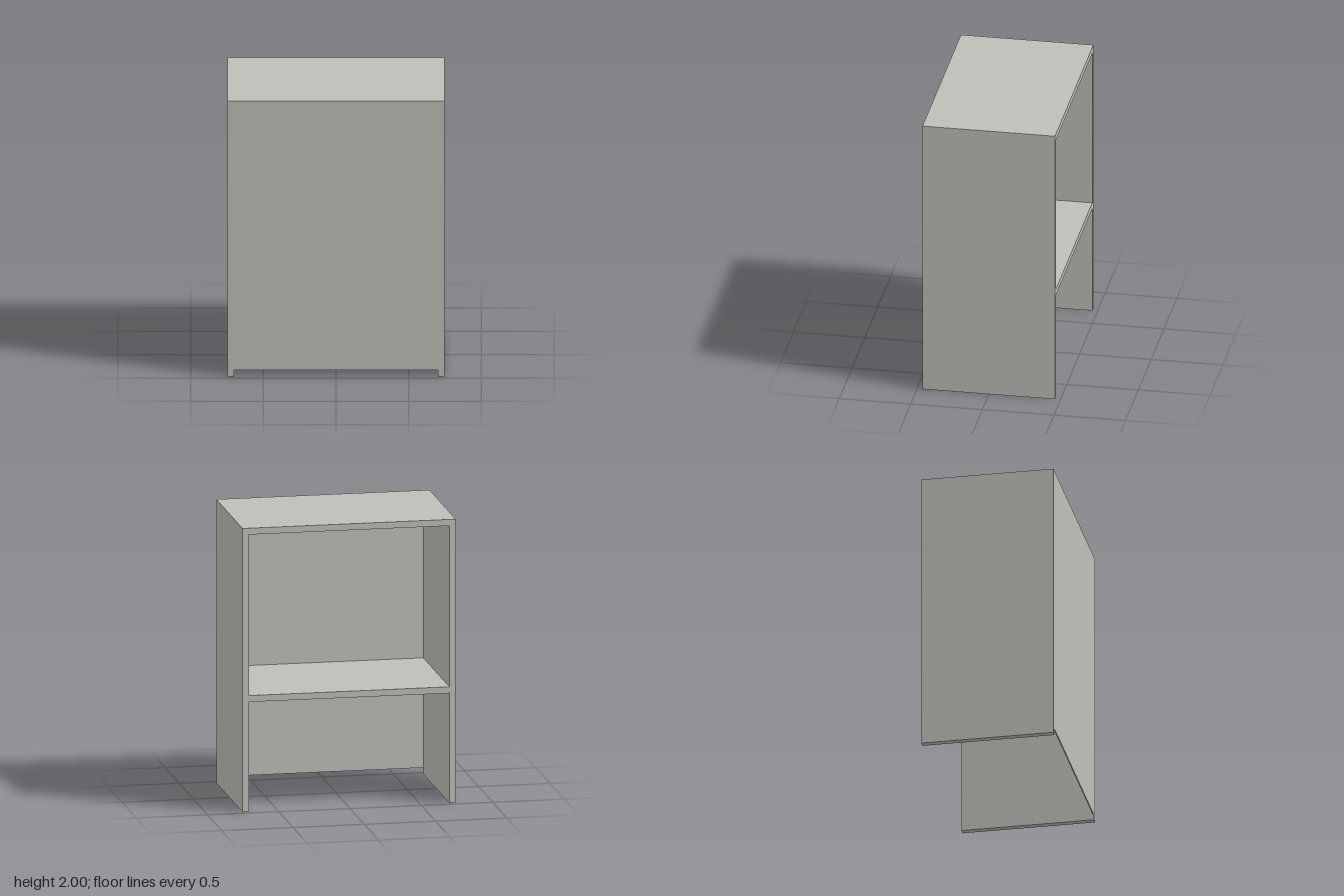
import * as THREE from 'three';

const W = 1.495, H = 2, D = 0.926; // overall size
const T = 0.045;                   // board thickness
const FRONT_T = 0.008;             // front sheet thickness

export function createModel() {
  const group = new THREE.Group();
  group.name = 'cabinet';
  const grey = new THREE.MeshStandardMaterial({ color: 0xbfbfba });
  grey.name = 'warmGrey';

  function board(name, w, h, d, x, y, z) {
    const mesh = new THREE.Mesh(new THREE.BoxGeometry(w, h, d), grey);
    mesh.name = name;
    mesh.position.set(x, y, z);
    group.add(mesh);
  }

  const innerW = W - 2 * T;
  const innerD = D - FRONT_T;

  // Full-height sides that also act as feet
  for (const [name, s] of [['leftSide', 1], ['rightSide', -1]]) {
    board(name, T, H, D, s * (W - T) / 2, H / 2, 0);
  }

  // Top and middle shelf, open at the back
  board('topPanel', innerW, T, innerD, 0, H - T / 2, -FRONT_T / 2);
  board('shelf', innerW, T, innerD, 0, 0.797, -FRONT_T / 2);

  // Thin front sheet, flush with the sides and raised off the floor
  board('frontPanel', innerW, H - T, FRONT_T, 0, (H + T) / 2, (D - FRONT_T) / 2);

  return group;
}
